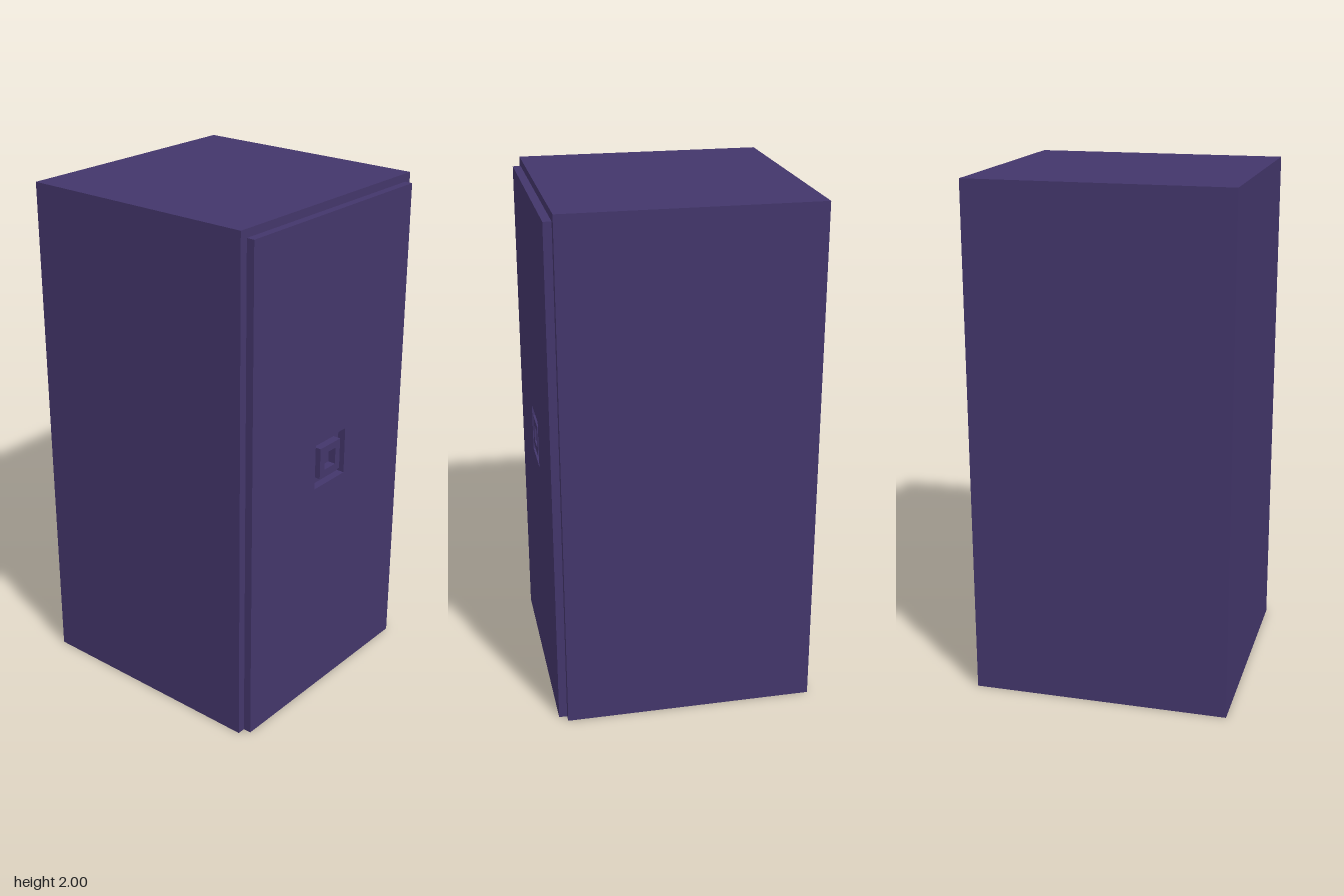
import * as THREE from 'three';

const STEP = 1 / 32; // thickness of the door and width of each trim step

// Adds a rectangle to a shape or path
function rect(path, x0, y0, x1, y1) {
  path.moveTo(x0, y0);
  path.lineTo(x1, y0);
  path.lineTo(x1, y1);
  path.lineTo(x0, y1);
  path.closePath();
  return path;
}

// Flat panel with a square hole around the middle of the door
function panel(name, bounds, hole, material) {
  const shape = rect(new THREE.Shape(), ...bounds);
  shape.holes.push(rect(new THREE.Path(), -hole, 1 - hole, hole, 1 + hole));
  const geometry = new THREE.ExtrudeGeometry(shape, { depth: STEP, bevelEnabled: false });
  const mesh = new THREE.Mesh(geometry, material);
  mesh.name = name;
  mesh.position.z = 0.5 - STEP;
  return mesh;
}

export function createModel() {
  const group = new THREE.Group();
  group.name = 'cabinet';
  const purple = new THREE.MeshStandardMaterial({ color: 0x43366b });
  purple.name = 'dark purple';

  // Main body, set back by the thickness of the door
  const body = new THREE.Mesh(new THREE.BoxGeometry(1, 2, 1 - STEP), purple);
  body.name = 'body';
  body.position.set(0, 1, -STEP / 2);
  group.add(body);

  // Door with a square recess
  const half = 0.5 - STEP;
  group.add(panel('door', [-half, 0, half, 2 - STEP], 3 * STEP, purple));

  // Square ring standing in the recess
  const ring = 2 * STEP;
  group.add(panel('handleRing', [-ring, 1 - ring, ring, 1 + ring], 0.034, purple));

  return group;
}
